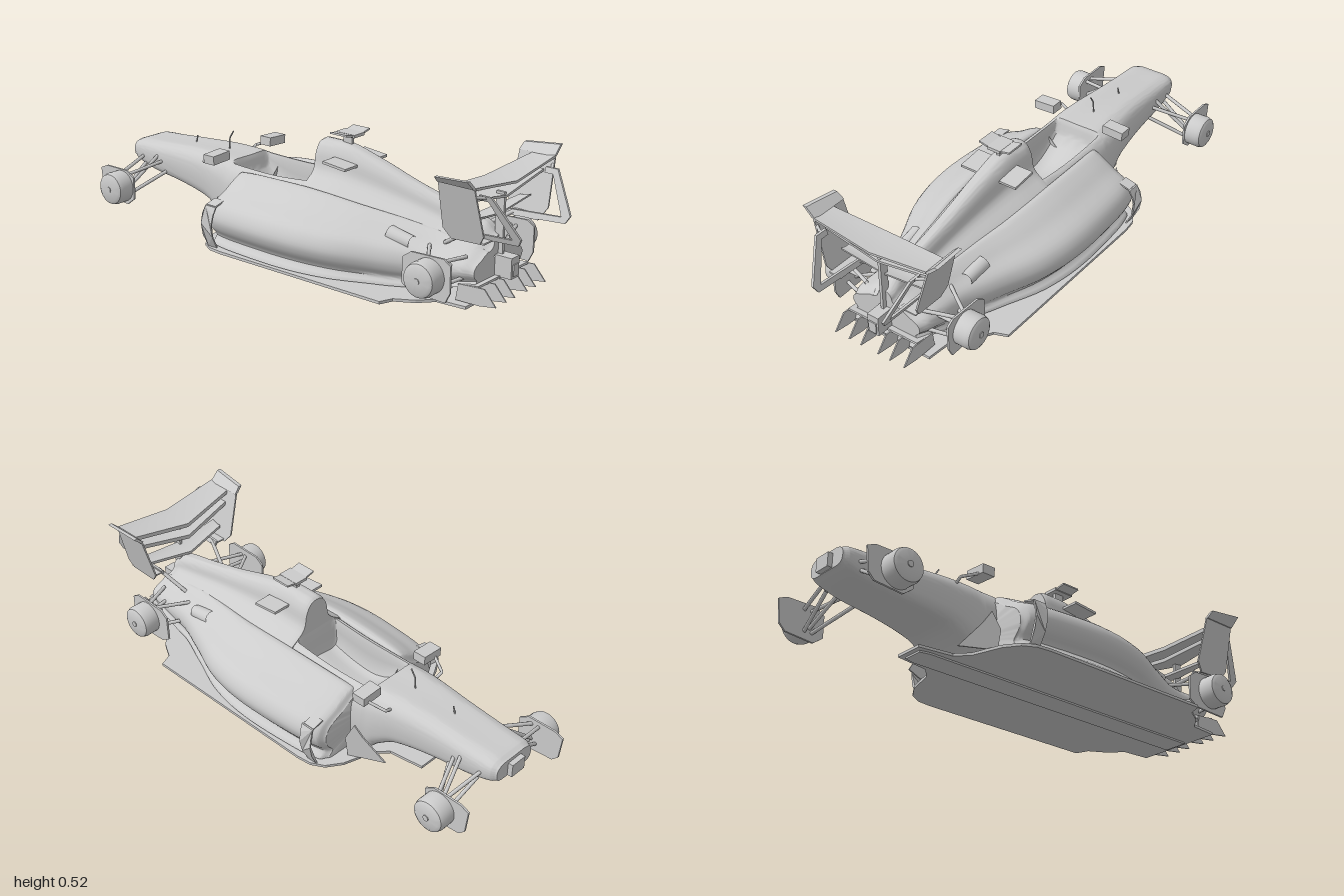
import * as THREE from 'three';
import { toCreasedNormals } from 'three/addons/utils/BufferGeometryUtils.js';

const grey = new THREE.MeshStandardMaterial({ color: 0xcccccc, side: THREE.DoubleSide });
const V = (x, y, z) => new THREE.Vector3(x, y, z);

// Slope-limited interpolation of one station column, so steps stay crisp
function column(stations, c, k, t) {
  const v = (j) => stations[j][c] ?? 0, z = (j) => stations[j][0];
  const m = (j) => {
    if (j === 0 || j === stations.length - 1) return 0;
    const d = (v(j) - v(j - 1)) / (z(j) - z(j - 1)), e = (v(j + 1) - v(j)) / (z(j + 1) - z(j));
    return d * e <= 0 ? 0 : (2 * d * e) / (d + e);
  };
  const dz = z(k + 1) - z(k), t2 = t * t, t3 = t2 * t;
  return (2 * t3 - 3 * t2 + 1) * v(k) + (t3 - 2 * t2 + t) * dz * m(k) + (3 * t2 - 2 * t3) * v(k + 1) + (t3 - t2) * dz * m(k + 1);
}

// Loft a half section (top centre to bottom centre, in fractions) along
// stations of [z, half width, top, bottom, sink of the top middle]
function loft(section, stations) {
  const around = (section.length - 1) * 4, size = around * 2, steps = 5;
  const positions = [], index = [];
  const ring = (k, t, scale) => {
    const [w, top, bottom, sink] = [1, 2, 3, 4].map((c) => column(stations, c, k, t));
    const z = THREE.MathUtils.lerp(stations[k][0], stations[k + 1][0], t), mid = (top + bottom) / 2;
    const curve = new THREE.CatmullRomCurve3(section.map(([fx, fy], i) =>
      V(w * fx * scale, mid + (bottom + (top - bottom) * fy - (i < 2 ? sink : 0) - mid) * scale, z)));
    for (let i = 0; i < size; i++) {
      const p = curve.getPoint((i <= around ? i : size - i) / around);
      positions.push(i <= around ? p.x : -p.x, p.y, p.z);
    }
  };
  const last = stations.length - 2;
  ring(0, 0, 0.001);
  for (let k = 0; k <= last; k++) for (let s = 0; s < steps; s++) ring(k, s / steps, 1);
  ring(last, 1, 1);
  ring(last, 1, 0.001);
  for (let r = 0; r < positions.length / 3 / size - 1; r++) {
    for (let i = 0; i < size; i++) {
      const a = r * size + i, b = r * size + (i + 1) % size;
      index.push(a, a + size, b, b, a + size, b + size);
    }
  }
  const g = new THREE.BufferGeometry();
  g.setAttribute('position', new THREE.Float32BufferAttribute(positions, 3));
  g.setIndex(index);
  return toCreasedNormals(g, 0.7);
}

export function createModel() {
  const car = new THREE.Group();
  car.name = 'racingCar';

  const add = (name, geo) => {
    const m = new THREE.Mesh(geo, grey);
    m.name = name;
    car.add(m);
    return m;
  };
  const both = (fn) => [[1, 'left'], [-1, 'right']].forEach(([s, n]) => fn(s, n));
  const box = (name, w, h, d, x, y, z, rx = 0, rz = 0) => {
    const m = add(name, new THREE.BoxGeometry(w, h, d));
    m.position.set(x, y, z);
    m.rotation.set(rx, 0, rz);
  };
  // Thin arm along straight legs
  const rod = (name, pts, r) => {
    const path = new THREE.CurvePath();
    for (let i = 1; i < pts.length; i++) path.add(new THREE.LineCurve3(pts[i - 1], pts[i]));
    add(name, new THREE.TubeGeometry(path, pts.length * 8, r, 8));
  };
  const shapeOf = (pts) => new THREE.Shape(pts.map(([a, b]) => new THREE.Vector2(a, b)));
  // Upright plate: outline in (z, y), thickness in x, with x set by a rule
  const plate = (name, pts, t, xAt, side) => {
    const g = new THREE.ExtrudeGeometry(shapeOf(pts), { depth: t, bevelEnabled: false });
    g.rotateY(-Math.PI / 2);
    const p = g.attributes.position;
    for (let i = 0; i < p.count; i++) p.setX(i, p.getX(i) + t / 2 + side * xAt(p.getY(i), p.getZ(i)));
    g.computeVertexNormals();
    add(name, g);
  };
  // Level plate: half outline in (x, z), mirrored, top at height y
  const slab = (name, half, t, y) => {
    const pts = [...half, ...half.slice().reverse().map(([x, z]) => [-x, z])];
    const g = new THREE.ExtrudeGeometry(shapeOf(pts), { depth: t, bevelEnabled: false });
    add(name, g.rotateX(Math.PI / 2).translate(0, y, 0));
  };

  // Nose and tub, sunk in the middle for the cockpit
  add('noseAndCockpit', loft(
    [[0, 1], [0.58, 1], [0.66, 0.98], [0.82, 0.92], [0.95, 0.78], [1, 0.6], [1, 0.35], [0.95, 0.15], [0.8, 0.02], [0, 0]],
    [[-0.975, 0.095, 0.272, 0.2], [-0.95, 0.106, 0.28, 0.19], [-0.85, 0.112, 0.286, 0.163], [-0.7, 0.12, 0.296, 0.145],
      [-0.53, 0.138, 0.303, 0.115], [-0.44, 0.15, 0.3, 0.06], [-0.395, 0.154, 0.297, 0.02], [-0.375, 0.157, 0.292, 0.02, 0.06],
      [-0.2, 0.16, 0.288, 0.02, 0.14], [-0.015, 0.158, 0.3, 0.02, 0.12], [0, 0.155, 0.303, 0.02], [0.02, 0.15, 0.305, 0.02]]));
  // Undercut sidepods tapering into the gearbox, hollow under the cockpit
  add('sidepods', loft(
    [[0, 0.4], [0.31, 0.5], [0.37, 0.97], [0.42, 1], [0.55, 0.93], [0.7, 0.81], [0.93, 0.65], [1, 0.45], [0.96, 0.28],
      [0.87, 0.13], [0.94, 0.01], [0, 0]],
    [[-0.335, 0.29, 0.25, 0.02], [-0.315, 0.322, 0.272, 0.02], [-0.2, 0.345, 0.283, 0.02],
      [0.01, 0.356, 0.288, 0.02], [0.1, 0.352, 0.285, 0.02], [0.25, 0.325, 0.272, 0.02], [0.45, 0.24, 0.248, 0.02],
      [0.62, 0.178, 0.225, 0.03], [0.76, 0.17, 0.205, 0.075], [0.81, 0.155, 0.19, 0.085]]));
  // Engine cover with the air intake at its front
  add('engineCover', loft(
    [[0, 1], [0.16, 0.95], [0.28, 0.77], [0.37, 0.42], [0.75, 0.14], [1, -0.1], [0, -0.1]],
    [[0, 0.185, 0.443, 0.25], [0.015, 0.19, 0.45, 0.25], [0.1, 0.185, 0.45, 0.25], [0.25, 0.16, 0.418, 0.245],
      [0.45, 0.125, 0.358, 0.232], [0.62, 0.11, 0.316, 0.205], [0.76, 0.12, 0.282, 0.185], [0.81, 0.1, 0.24, 0.172]]));

  // Floor, plank and nose fittings
  slab('floor', [[0.06, -0.61], [0.08, -0.47], [0.13, -0.425], [0.25, -0.39], [0.31, -0.35], [0.338, -0.3], [0.345, -0.24],
    [0.342, 0.54], [0.29, 0.56], [0.25, 0.63], [0.195, 0.68], [0.185, 0.8]], 0.011, 0.018);
  slab('plank', [[0.04, -0.59], [0.05, -0.55], [0.05, 0.78]], 0.008, 0.008);
  box('noseBlock', 0.07, 0.055, 0.03, 0, 0.23, -0.98);
  rod('noseAntenna', [V(0, 0.29, -0.7), V(0, 0.325, -0.69)], 0.003);
  rod('pitotTube', [V(0, 0.29, -0.51), V(0, 0.35, -0.505), V(0, 0.38, -0.485)], 0.003);

  // Camera above the intake
  box('cameraStem', 0.014, 0.05, 0.04, 0, 0.465, 0.12);
  box('cameraPod', 0.06, 0.012, 0.09, 0, 0.484, 0.125);

  // Diffuser, tail light and wing pillar
  box('diffuserRoof', 0.32, 0.008, 0.07, 0, 0.086, 0.8, -0.15);
  box('diffuserWall', 0.32, 0.06, 0.008, 0, 0.055, 0.79, -0.4);
  for (const x of [-0.16, -0.095, -0.04, 0.04, 0.095, 0.16])
    plate('diffuserStrake', [[0.74, 0.022], [0.84, 0.024], [0.91, 0.035], [0.86, 0.092], [0.75, 0.085]], 0.005, () => x, 1);
  box('tailLight', 0.05, 0.08, 0.07, 0, 0.13, 0.845);
  box('lightFace', 0.034, 0.045, 0.006, 0, 0.122, 0.882);
  box('wingPillar', 0.012, 0.24, 0.035, 0, 0.28, 0.81);

  // Rear wing: V-shaped elements between leaning endplates
  const vWing = (name, half, y, rise, z, chord, t, tilt) => {
    const g = new THREE.BoxGeometry(half * 2, t, chord, 2, 1, 4);
    const p = g.attributes.position;
    for (let i = 0; i < p.count; i++) {
      const u = p.getZ(i) / chord;
      const out = Math.abs(p.getX(i)) / half;
      p.setY(i, p.getY(i) * (1 - u * 0.6) + y + rise * out + tilt * (u + u * u));
      p.setZ(i, p.getZ(i) + z + out * 0.035 * (0.5 - u));
    }
    add(name, toCreasedNormals(g, 0.5));
  };
  vWing('mainWingPlane', 0.235, 0.382, 0.04, 0.785, 0.1, 0.013, 0.006);
  vWing('upperWingFlap', 0.25, 0.438, 0.034, 0.805, 0.135, 0.013, 0.011);
  vWing('beamWing', 0.195, 0.308, 0.02, 0.77, 0.08, 0.009, 0.012);
  const lean = (y) => (y < 0.48 ? 0.195 + (y - 0.26) * 0.27 : 0.2544 + (y - 0.48) * 1.05);

  // Per end: hub z, inner arm x, brake duct outline, arms as inner y, z and outer y, z
  const ends = {
    Front: { z: -0.87, inner: 0.105,
      duct: [[-0.985, 0.095], [-0.96, 0.07], [-0.84, 0.06], [-0.8, 0.09], [-0.8, 0.18], [-0.84, 0.205], [-0.96, 0.205], [-0.995, 0.19]],
      arms: [[0.22, -0.91, 0.18, -0.885], [0.22, -0.79, 0.18, -0.855], [0.19, -0.9, 0.095, -0.88], [0.18, -0.77, 0.095, -0.85], [0.24, -0.82, 0.11, -0.86]] },
    Rear: { z: 0.7, inner: 0.13,
      duct: [[0.58, 0.08], [0.62, 0.055], [0.77, 0.05], [0.79, 0.09], [0.79, 0.19], [0.76, 0.21], [0.62, 0.205], [0.585, 0.18]],
      arms: [[0.185, 0.6, 0.177, 0.69], [0.18, 0.76, 0.177, 0.71], [0.115, 0.58, 0.092, 0.68], [0.11, 0.77, 0.092, 0.72], [0.15, 0.72, 0.14, 0.71]] },
  };
  const drum = toCreasedNormals(new THREE.LatheGeometry(
    [[0, 0], [0.066, 0], [0.067, 0.05], [0.062, 0.066], [0.05, 0.073], [0.012, 0.075], [0.012, 0.078], [0, 0.078]]
      .map(([r, h]) => new THREE.Vector2(r, h)), 32), 0.6);

  both((s, n) => {
    box(n + 'CameraWing', 0.045, 0.007, 0.08, s * 0.048, 0.489, 0.125, 0, s * 0.2);
    box(n + 'IntakeWinglet', 0.075, 0.01, 0.11, s * 0.09, 0.387, 0.15, 0.1);

    // Endplate with its flared top, swept rear loop, foot and strut
    plate(n + 'Endplate', [[0.87, 0.48], [0.72, 0.48], [0.71, 0.3], [0.74, 0.262], [0.86, 0.268], [0.88, 0.3]], 0.007, lean, s);
    plate(n + 'EndplateFlare', [[0.87, 0.48], [0.72, 0.48], [0.725, 0.505], [0.87, 0.517]], 0.016, lean, s);
    plate(n + 'EndplateLoop', [[0.86, 0.45], [0.91, 0.45], [1, 0.305], [0.985, 0.278], [0.74, 0.263], [0.74, 0.283],
      [0.965, 0.297], [0.895, 0.43], [0.86, 0.43]], 0.01, (y) => 0.15 + (y - 0.28) * 0.36, s);
    rod(n + 'EndplateBracket', [V(s * 0.208, 0.442, 0.885), V(s * 0.245, 0.45, 0.865)], 0.006);
    rod(n + 'EndplateStrut', [V(s * 0.148, 0.278, 0.77), V(s * 0.105, 0.2, 0.65)], 0.008);
    box(n + 'EndplateFoot', 0.055, 0.006, 0.13, s * 0.17, 0.27, 0.81);

    // Hubs, brake ducts and suspension arms
    for (const [end, { z, inner, duct, arms }] of Object.entries(ends)) {
      const hub = add(n + end + 'Hub', drum);
      hub.rotation.z = -s * Math.PI / 2;
      hub.position.set(s * 0.268, 0.134, z);
      plate(n + end + 'BrakeDuct', duct, 0.008, () => 0.265, s);
      for (const [y0, z0, y1, z1] of arms)
        rod(n + end + 'SuspensionArm', [V(s * inner, y0, z0), V(s * 0.265, y1, z1)], 0.0075);
    }

    // Mirrors on stalks
    box(n + 'Mirror', 0.092, 0.036, 0.055, s * 0.165, 0.322, -0.42, 0, -s * 0.05);
    rod(n + 'MirrorStalk', [V(s * 0.12, 0.27, -0.5), V(s * 0.155, 0.285, -0.505), V(s * 0.185, 0.31, -0.44)], 0.006);

    // Bowed turning vanes beside the sidepod mouth, with a bridge to the body
    plate(n + 'TurningVane', [[-0.32, 0.018], [-0.275, 0.018], [-0.272, 0.07], [-0.268, 0.12], [-0.264, 0.16], [-0.26, 0.19],
      [-0.315, 0.19], [-0.32, 0.16], [-0.322, 0.12], [-0.322, 0.07]], 0.006,
      (y) => 0.322 + 0.036 * Math.sin(Math.PI * Math.min(1, (y - 0.018) / 0.2)), s);
    box(n + 'VaneBridge', 0.05, 0.006, 0.05, s * 0.31, 0.196, -0.29, 0, -s * 0.25);
    plate(n + 'InnerVane', [[-0.5, 0.018], [-0.37, 0.018], [-0.36, 0.1], [-0.39, 0.17], [-0.42, 0.12]], 0.006,
      (y, z) => 0.19 + (z + 0.4) * 0.5, s);

    // Cooling outlet beside the gearbox
    const outlet = add(n + 'CoolingOutlet', new THREE.CylinderGeometry(0.026, 0.033, 0.1, 20, 1, true));
    outlet.rotation.x = Math.PI / 2 + 0.12;
    outlet.position.set(s * 0.152, 0.19, 0.49);
  });
  return car;
}
